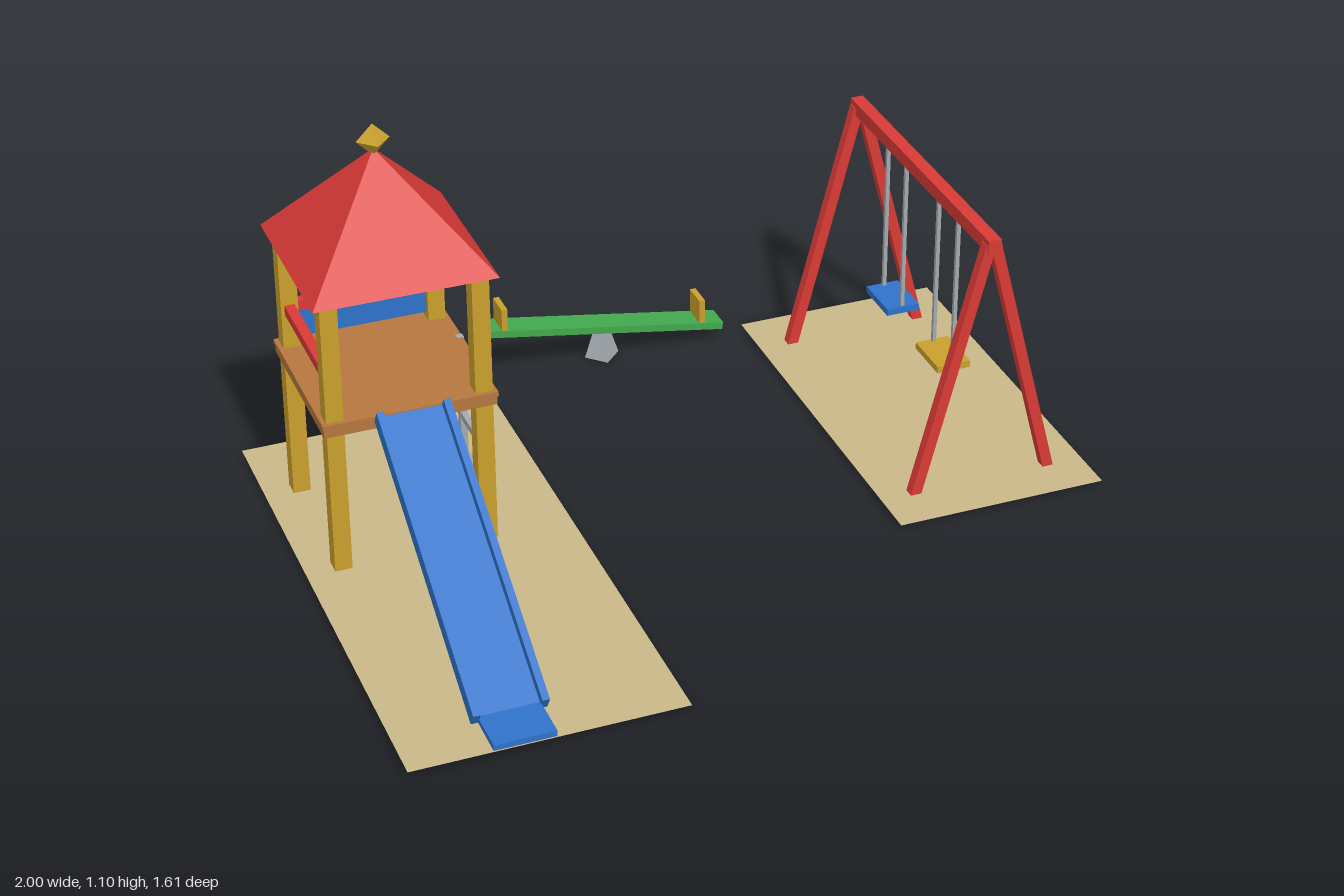
import * as THREE from 'three';

const makeMaterial = (name, color) => {
  const m = new THREE.MeshStandardMaterial({ color });
  m.name = name;
  return m;
};

export function createModel() {
  const root = new THREE.Group();
  root.name = 'playground';

  const red = makeMaterial('red paint', 0xd93a36);
  const blue = makeMaterial('blue plastic', 0x2f72c9);
  const yellow = makeMaterial('yellow wood', 0xc9a02c);
  const green = makeMaterial('green paint', 0x43a84e);
  const brown = makeMaterial('brown deck wood', 0xb5763e);
  const grey = makeMaterial('grey metal', 0xa3a9ad);
  const sand = makeMaterial('sand', 0xc9b787);
  sand.side = THREE.DoubleSide;

  const group = (name, x = 0, y = 0, z = 0) => {
    const g = new THREE.Group();
    g.name = name;
    g.position.set(x, y, z);
    root.add(g);
    return g;
  };
  const add = (parent, name, geometry, material, x, y, z) => {
    const m = new THREE.Mesh(geometry, material);
    m.name = name;
    m.position.set(x, y, z);
    parent.add(m);
    return m;
  };
  const box = (parent, name, material, w, h, d, x, y, z) =>
    add(parent, name, new THREE.BoxGeometry(w, h, d), material, x, y, z);

  // Sand beds
  const sandBed = (name, x0, x1, z0, z1) => {
    const g = new THREE.PlaneGeometry(x1 - x0, z1 - z0).rotateX(-Math.PI / 2);
    add(root, name, g, sand, (x0 + x1) / 2, 0.012, (z0 + z1) / 2);
  };
  sandBed('towerSandBed', -1, -0.315, -0.633, 0.802);
  sandBed('swingSandBed', 0.44, 1, -0.758, 0.302);

  // Tower: posts, deck, rails and roof
  const tower = group('tower', -0.72, 0, -0.227);
  const post = 0.187;
  for (const sx of [-1, 1]) {
    for (const sz of [-1, 1]) {
      box(tower, 'towerPost', yellow, 0.044, 0.749, 0.044, sx * post, 0.3825, sz * post);
    }
  }
  box(tower, 'deck', brown, 0.434, 0.024, 0.434, 0, 0.414, 0);
  box(tower, 'deckTop', brown, 0.44, 0.012, 0.44, 0, 0.431, 0);
  box(tower, 'backPanel', blue, 0.33, 0.078, 0.016, 0, 0.495, -post);
  box(tower, 'backRail', red, 0.33, 0.026, 0.026, 0, 0.545, -post);
  box(tower, 'sideRail', red, 0.026, 0.026, 0.33, -post, 0.545, 0);

  const roof = new THREE.ConeGeometry(0.23 * Math.SQRT2, 0.278, 4, 1).rotateY(Math.PI / 4).toNonIndexed();
  roof.computeVertexNormals();
  add(tower, 'roof', roof, red, 0, 0.896, 0);
  add(tower, 'roofFinial', new THREE.OctahedronGeometry(0.042), yellow, 0, 1.058, 0);

  // Ladder on the tower's left side
  const ladder = group('ladder', -0.506, 0, -0.225);
  for (const s of [-1, 1]) {
    box(ladder, 'ladderStile', grey, 0.018, 0.428, 0.018, 0, 0.224, s * 0.068);
  }
  for (const y of [0.102, 0.211, 0.322]) {
    box(ladder, 'ladderRung', grey, 0.014, 0.018, 0.122, 0, y, 0);
  }

  // Slide: sloped bed with side walls, and a flat exit
  const slide = group('slide', -0.72, 0.2355, 0.349);
  slide.rotation.x = Math.atan2(0.413, 0.692);
  box(slide, 'slideBed', blue, 0.155, 0.02, 0.806, 0, -0.014, 0);
  for (const s of [-1, 1]) {
    box(slide, 'slideWall', blue, 0.018, 0.043, 0.806, s * 0.0835, 0, 0);
  }
  box(root, 'slideExit', blue, 0.153, 0.015, 0.122, -0.72, 0.0225, 0.741);

  // Seesaw: pivot, tilted plank and two upright handles
  const seesaw = group('seesaw', 0.032, 0, -0.755);
  const pivot = new THREE.CylinderGeometry(0.02, 0.048, 0.088, 4).toNonIndexed();
  pivot.computeVertexNormals();
  add(seesaw, 'seesawPivot', pivot, grey, 0, 0.052, 0);
  const plank = box(seesaw, 'seesawPlank', green, 0.685, 0.02, 0.073, 0, 0.103, 0);
  plank.rotation.z = -0.17;
  box(seesaw, 'seesawHandle', yellow, 0.016, 0.068, 0.071, -0.283, 0.192, 0);
  box(seesaw, 'seesawHandle', yellow, 0.016, 0.068, 0.071, 0.278, 0.101, 0);

  // Swing frame: top beam on two pairs of splayed legs
  const swing = group('swingSet', 0.718, 0, -0.226);
  box(swing, 'swingBeam', red, 0.035, 0.037, 0.838, 0, 0.693, 0);
  const spread = 0.18, rise = 0.69;
  for (const sx of [-1, 1]) {
    for (const sz of [-1, 1]) {
      const leg = box(swing, 'swingLeg', red, 0.028, Math.hypot(spread, rise), 0.028,
        sx * (0.007 + spread / 2), 0.004 + rise / 2, sz * 0.4);
      leg.rotation.z = sx * Math.atan2(spread, rise);
    }
  }

  // Two swing seats, each hung on a pair of rods
  for (const [name, material, z] of [['yellowSwingSeat', yellow, 0.156], ['blueSwingSeat', blue, -0.156]]) {
    box(swing, name, material, 0.091, 0.018, 0.134, 0, 0.24, z);
    for (const s of [-1, 1]) {
      box(swing, 'swingRod', grey, 0.01, 0.435, 0.01, 0, 0.465, z + s * 0.057);
    }
  }

  return root;
}
